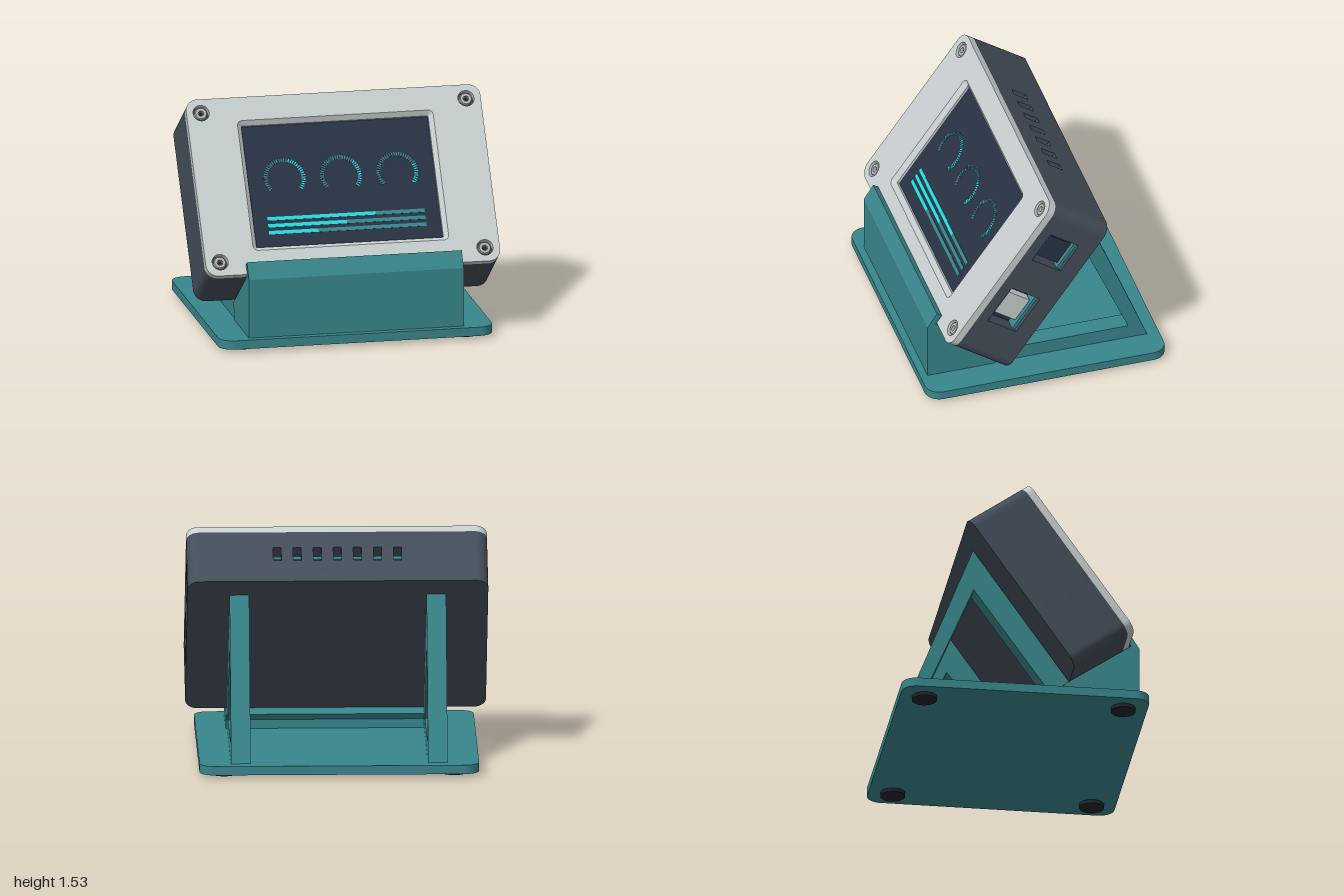
import * as THREE from 'three';
import { toCreasedNormals } from 'three/addons/utils/BufferGeometryUtils.js';

const mat = (name, color, side = THREE.FrontSide) => {
  const m = new THREE.MeshStandardMaterial({ color, side });
  m.name = name;
  return m;
};

export function createModel() {
  const teal = mat('stand teal', 0x38868b);
  const slate = mat('case slate', 0x434d58);
  const silver = mat('bezel silver', 0xc8cfd0);
  const navy = mat('screen navy', 0x273244);
  const cyan = mat('bright cyan', 0x25dbe0);
  const dim = mat('dim cyan', 0x37878c);
  const rubber = mat('rubber', 0x20242b);
  const steel = mat('screw steel', 0xb2b7b8);

  const model = new THREE.Group();
  const add = (parent, name, geo, material, x = 0, y = 0, z = 0) => {
    const m = new THREE.Mesh(geo, material);
    m.name = name;
    m.position.set(x, y, z);
    parent.add(m);
    return m;
  };
  const box = (parent, name, material, w, h, d, x, y, z) =>
    add(parent, name, new THREE.BoxGeometry(w, h, d), material, x, y, z);
  const extrude = (shape, depth) => toCreasedNormals(
    new THREE.ExtrudeGeometry(shape, { depth, bevelEnabled: false, curveSegments: 10 }), 0.5);

  // Counter-clockwise rounded rectangle points, half sizes w and h
  const roundedRect = (w, h, r, n = 8) => {
    const pts = [];
    [[1, -1], [1, 1], [-1, 1], [-1, -1]].forEach(([sx, sy], k) => {
      for (let i = 0; i <= n; i++) {
        const a = (k - 1 + i / n) * Math.PI / 2;
        pts.push(new THREE.Vector2(sx * (w - r) + r * Math.cos(a), sy * (h - r) + r * Math.sin(a)));
      }
    });
    return pts;
  };
  // Side profile given as [z, y], extruded across x
  const sideProfile = (pts, width, hole) => {
    const v = (list) => list.map(([z, y]) => new THREE.Vector2(z, y));
    const s = new THREE.Shape(v(pts));
    if (hole) s.holes.push(new THREE.Path(v(hole)));
    return extrude(s, width).rotateY(-Math.PI / 2).translate(width / 2, 0, 0);
  };

  // ---- Stand ----
  const stand = new THREE.Group();
  stand.name = 'stand';
  model.add(stand);
  add(stand, 'basePlate', extrude(new THREE.Shape(roundedRect(0.93, 0.83, 0.1)), 0.06)
    .rotateX(-Math.PI / 2), teal, 0, 0.025, 0);
  for (const x of [-0.765, 0.765]) for (const z of [-0.667, 0.667])
    add(stand, 'foot', new THREE.CylinderGeometry(0.083, 0.083, 0.03, 32), rubber, x, 0.015, z);
  add(stand, 'cradle', sideProfile([[0.31, 0.08], [0.78, 0.08], [0.78, 0.485], [0.715, 0.59],
    [0.68, 0.565], [0.726, 0.502], [0.31, 0.217], [0.27, 0.19], [0.31, 0.145]], 1.46), teal);
  for (const x of [-0.655, 0.655])
    add(stand, 'backStrut', sideProfile([[-0.75, 0.08], [0.31, 0.08], [0.31, 0.217], [-0.335, 1.14]], 0.13,
      [[0.145, 0.182], [-0.615, 0.182], [-0.33, 0.853]]), teal, x);

  // ---- Tilted display unit ----
  const unit = new THREE.Group();
  unit.name = 'displayUnit';
  unit.position.set(0, 0.8775, 0.155);
  unit.rotation.x = -35 * Math.PI / 180;
  model.add(unit);

  const H = 0.625, R = 0.08, POCKET = 0.13;
  const ports = [[-0.334, -0.045], [0.203, 0.427]];
  const ventX = [0.4, 0.267, 0.133, 0, -0.133, -0.267, -0.4];

  // Case outline, optionally notched for the side ports and top vents
  const caseOutline = (withPorts, withVents) => {
    const s = new THREE.Shape();
    s.moveTo(-1 + R, -H);
    s.lineTo(1 - R, -H);
    s.absarc(1 - R, -H + R, R, -Math.PI / 2, 0);
    if (withPorts) for (const [a, b] of ports) {
      s.lineTo(1, a); s.lineTo(1 - POCKET, a); s.lineTo(1 - POCKET, b); s.lineTo(1, b);
    }
    s.lineTo(1, H - R);
    s.absarc(1 - R, H - R, R, 0, Math.PI / 2);
    if (withVents) for (const x of ventX) {
      s.lineTo(x + 0.027, H); s.lineTo(x + 0.027, H - 0.12);
      s.lineTo(x - 0.027, H - 0.12); s.lineTo(x - 0.027, H);
    }
    s.lineTo(-1 + R, H);
    s.absarc(-1 + R, H - R, R, Math.PI / 2, Math.PI);
    s.lineTo(-1, -H + R);
    s.absarc(-1 + R, -H + R, R, Math.PI, Math.PI * 1.5);
    return s;
  };
  // Case built from layers so that the openings are real pockets
  [[-0.245, -0.12, false, false], [-0.12, -0.058, true, false], [-0.058, 0.058, true, true],
    [0.058, 0.12, true, false], [0.12, 0.195, false, false]].forEach(([z0, z1, p, v]) =>
    add(unit, 'caseLayer', extrude(caseOutline(p, v), z1 - z0), slate, 0, 0, z0));

  // Port linings and connectors
  ports.forEach(([a, b], i) => {
    const mid = (a + b) / 2, len = b - a;
    box(unit, 'portFloor', navy, 0.02, len, 0.24, 0.88, mid, 0);
    for (const z of [-0.108, 0.108]) box(unit, 'portRail', teal, 0.09, len, 0.022, 0.93, mid, z);
    box(unit, 'connector', i ? navy : silver, 0.07, i ? 0.17 : 0.175, 0.18, 0.92, mid, 0);
  });
  // Circuit edge seen through the vents
  for (const x of ventX) {
    box(unit, 'ventFloor', navy, 0.054, 0.02, 0.116, x, 0.515, 0);
    box(unit, 'ventStrip', teal, 0.054, 0.06, 0.024, x, 0.55, 0.004);
  }

  // Bezel: rear layer with a sharp opening, front layer with a chamfered one
  const screwSpots = [[-0.9, -0.528], [0.9, -0.528], [-0.9, 0.528], [0.9, 0.528]];
  const bezelLayer = (opening, z, depth) => {
    const s = caseOutline(false, false);
    s.holes.push(new THREE.Path(opening));
    for (const [x, y] of screwSpots) s.holes.push(new THREE.Path().absarc(x, y, 0.055, 0, Math.PI * 2));
    add(unit, 'bezel', extrude(s, depth), silver, 0, 0, z);
  };
  const outer = roundedRect(0.665, 0.46, 0.035), inner = roundedRect(0.635, 0.43, 0.004);
  bezelLayer(inner, 0.195, 0.02);
  bezelLayer(outer, 0.215, 0.03);
  const pos = [];
  outer.forEach((p, i) => {
    const j = (i + 1) % outer.length;
    const a = [p.x, p.y, 0.245], b = [outer[j].x, outer[j].y, 0.245];
    const c = [inner[j].x, inner[j].y, 0.215], d = [inner[i].x, inner[i].y, 0.215];
    pos.push(...a, ...b, ...c, ...a, ...c, ...d);
  });
  const chamfer = new THREE.BufferGeometry();
  chamfer.setAttribute('position', new THREE.Float32BufferAttribute(pos, 3));
  chamfer.computeVertexNormals();
  add(unit, 'bezelChamfer', chamfer, silver);

  // Corner screws with hexagonal sockets
  const screwProfile = [[0.043, 0.19], [0.043, 0.232], [0.037, 0.238], [0.019, 0.238], [0.019, 0.215], [0, 0.215]]
    .map(([r, y]) => new THREE.Vector2(r, y));
  const screwGeo = toCreasedNormals(new THREE.LatheGeometry(screwProfile, 24).rotateX(Math.PI / 2), 0.5);
  for (const [x, y] of screwSpots) {
    add(unit, 'screw', screwGeo, steel, x, y, 0);
    add(unit, 'screwSocket', new THREE.CircleGeometry(0.018, 6), rubber, x, y, 0.217);
  }

  // Screen with gauges and bars
  box(unit, 'screen', navy, 1.28, 0.87, 0.008, 0, 0, 0.193);
  const TICKS = 36, tick = new THREE.BoxGeometry(0.026, 0.008, 0.003);
  [[-0.383, 0.55], [0, 0.68], [0.383, 0.75]].forEach(([cx, lit]) => {
    for (let i = 0; i < TICKS; i++) {
      const t = i / (TICKS - 1), a = (215 - 250 * t) * Math.PI / 180;
      add(unit, 'gaugeTick', tick, t > lit ? cyan : dim,
        cx + 0.128 * Math.cos(a), 0.053 + 0.128 * Math.sin(a), 0.198).rotation.z = a;
    }
  });
  [[-0.227, 0.2], [-0.276, 0], [-0.325, -0.2]].forEach(([y, end]) => {
    box(unit, 'barFilled', cyan, end + 0.535, 0.025, 0.003, (end - 0.535) / 2, y, 0.198);
    box(unit, 'barEmpty', dim, 0.535 - end, 0.025, 0.003, (end + 0.535) / 2, y, 0.198);
  });

  return model;
}
